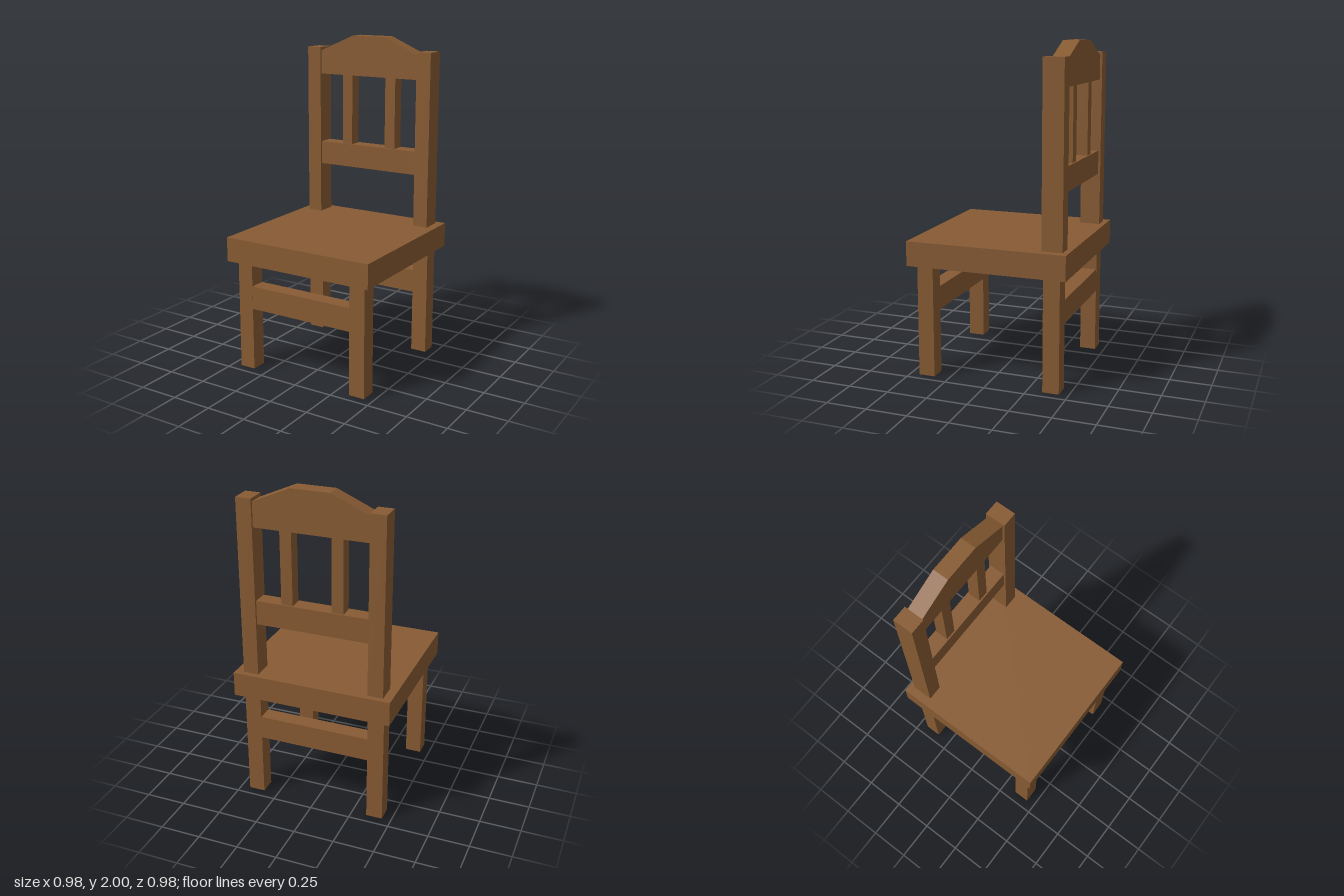
import * as THREE from 'three';

export function createModel() {
  const chair = new THREE.Group();
  chair.name = 'chair';
  const wood = new THREE.MeshStandardMaterial({ color: 0x875b33 });
  wood.name = 'brown wood';

  const add = (name, geometry) => {
    const mesh = new THREE.Mesh(geometry, wood);
    mesh.name = name;
    chair.add(mesh);
    return mesh;
  };
  // Box given by its width, its bottom and top heights, its depth and its centre
  const bar = (name, width, y0, y1, depth, x, z) =>
    add(name, new THREE.BoxGeometry(width, y1 - y0, depth)).position.set(x, (y0 + y1) / 2, z);

  const backZ = -0.393;

  bar('seat', 0.98, 0.69, 0.84, 0.98, 0, 0);

  // Legs, back posts and back slats, mirrored left and right
  for (const [side, s] of [['left', 1], ['right', -1]]) {
    bar(`${side}FrontLeg`, 0.1, 0, 0.69, 0.1, s * 0.393, 0.393);
    bar(`${side}BackLeg`, 0.1, 0, 0.69, 0.1, s * 0.393, backZ);
    bar(`${side}BackPost`, 0.094, 0.84, 1.92, 0.125, s * 0.391, backZ);
    bar(`${side}BackSlat`, 0.07, 1.31, 1.75, 0.08, s * 0.154, backZ);
  }

  // Rails between the legs and between the posts
  bar('frontStretcher', 0.686, 0.395, 0.54, 0.098, 0, 0.393);
  bar('backStretcher', 0.686, 0.395, 0.54, 0.098, 0, backZ);
  bar('backRail', 0.688, 1.163, 1.31, 0.098, 0, backZ);

  // Crest rail with sloping shoulders
  const crest = new THREE.Shape([
    [-0.344, 1.752], [0.344, 1.752], [0.344, 1.9],
    [0.115, 2], [-0.115, 2], [-0.344, 1.9],
  ].map(([x, y]) => new THREE.Vector2(x, y)));
  add('crestRail', new THREE.ExtrudeGeometry(crest, { depth: 0.098, bevelEnabled: false }))
    .position.z = backZ - 0.049;

  return chair;
}
